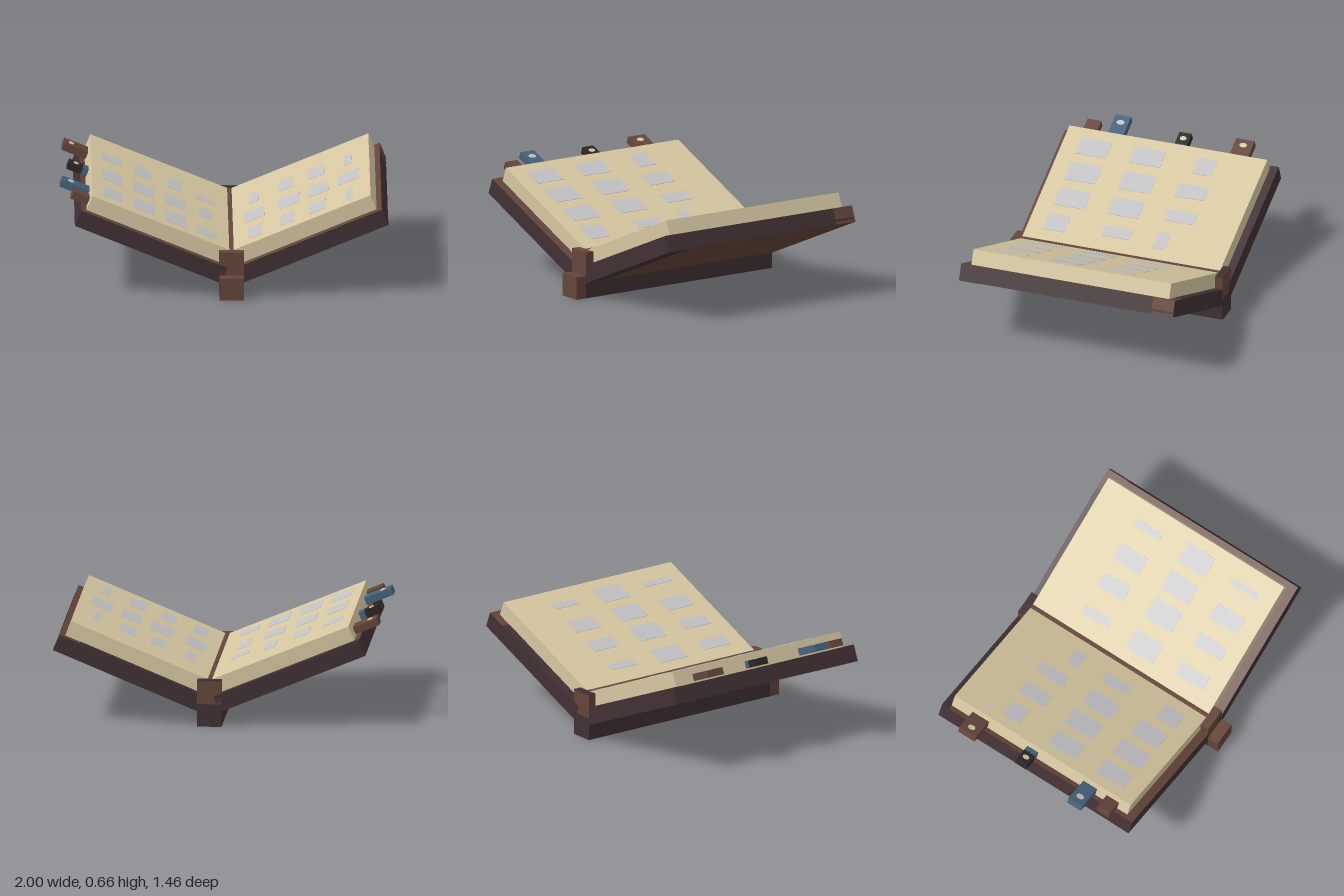
import * as THREE from 'three';

export function createModel() {
  const root = new THREE.Group();
  root.name = 'openBook';
  const mat = (name, color) => {
    const m = new THREE.MeshStandardMaterial({ color });
    m.name = name;
    return m;
  };
  const brown = mat('leather brown', 0x64453a);
  const dark = mat('dark leather', 0x403033);
  const paper = mat('parchment', 0xd6c7a1);
  const grey = mat('faded ink grey', 0xc2c1c3);
  const blue = mat('bookmark blue', 0x45627a);
  const black = mat('bookmark black', 0x2b2727);

  // Box given by its minimum and maximum on each axis
  function block(parent, name, material, [x0, x1], [y0, y1], [z0, z1]) {
    const mesh = new THREE.Mesh(
      new THREE.BoxGeometry(Math.abs(x1 - x0), y1 - y0, z1 - z0), material);
    mesh.position.set((x0 + x1) / 2, (y0 + y1) / 2, (z0 + z1) / 2);
    mesh.name = name;
    parent.add(mesh);
    return mesh;
  }

  // Spine
  const CX = 0.045;
  const sx = [CX - 0.075, CX + 0.075];
  block(root, 'spineBase', dark, sx, [0, 0.14], [-0.73, 0.66]);
  block(root, 'spineTop', brown, sx, [0.14, 0.286], [-0.73, 0.66]);
  block(root, 'spineFrontEnd', brown, sx, [0, 0.14], [0.66, 0.73]);
  block(root, 'spineBackTrim', dark, sx, [0.285, 0.289], [-0.73, -0.68]);

  // Each half lies in its own tilted frame: u runs outward, v up from the cover
  const TILT = Math.PI / 8, COS = Math.cos(TILT), SIN = Math.sin(TILT);
  const COVER = 0.103, PAGE = 0.199, END = 1.034;
  const uAt = (x, v) => (Math.abs(x - CX) + v * SIN) / COS;

  // Ink marks: x range, z range
  const rows = { back: [-0.4, -0.21], mid: [-0.05, 0.15], front: [0.3, 0.5] };
  const marks = {
    '-1': [
      [-0.735, -0.615, [-0.38, -0.26]], [-0.535, -0.435, rows.back],
      [-0.335, -0.255, rows.back], [-0.165, -0.045, [-0.29, -0.21]],
      [-0.735, -0.615, rows.mid], [-0.55, -0.42, rows.mid],
      [-0.355, -0.23, rows.mid], [-0.145, -0.07, [-0.05, 0.13]],
      [-0.735, -0.615, rows.front], [-0.55, -0.42, rows.front],
      [-0.355, -0.23, rows.front], [-0.165, -0.045, [0.36, 0.5]],
    ],
    '1': [
      [0.165, 0.22, rows.back], [0.34, 0.43, rows.back],
      [0.52, 0.62, rows.back], [0.74, 0.785, rows.back],
      [0.13, 0.25, rows.mid], [0.335, 0.465, rows.mid],
      [0.52, 0.64, rows.mid], [0.7, 0.825, rows.mid],
      [0.15, 0.23, rows.front], [0.345, 0.425, rows.front],
      [0.52, 0.62, rows.front], [0.745, 0.785, rows.front],
    ],
  };

  const halves = {};
  for (const s of [-1, 1]) {
    const half = new THREE.Group();
    half.name = s > 0 ? 'leftHalf' : 'rightHalf';
    half.position.set(CX, 0.065, 0);
    half.rotation.z = s * TILT;
    root.add(half);
    halves[s] = half;

    // Cover board with dark edges, and the page block on it
    block(half, 'cover', [dark, dark, brown, brown, dark, dark],
      [s * 0.07, s * END], [0, COVER], [-0.73, 0.66]);
    block(half, 'pages', paper, [s * 0.083, s], [COVER, PAGE], [-0.68, 0.605]);

    // Dark bands along the back of the top and the front of the underside
    block(half, 'backBand', dark, [s * 0.12, s * (s > 0 ? 0.9 : END)],
      [COVER - 0.002, COVER + 0.002], [-0.73, -0.68]);
    block(half, 'undersideBand', dark, [s * 0.09, s * END],
      [-0.002, 0.002], [0.53, 0.66]);

    for (const [x0, x1, z] of marks[s])
      block(half, 'inkMark', grey, [s * uAt(x0, PAGE), s * uAt(x1, PAGE)],
        [PAGE - 0.002, PAGE + 0.002], z);
  }

  // Brown corner patch on the model's left cover edge
  for (const v of [[0.002, 0.018], [0.032, COVER]])
    block(halves[1], 'cornerPatch', brown, [END - 0.002, END + 0.002], v, [-0.73, -0.59]);

  // Bookmark tabs on the model's right side
  const V0 = 0.113, V1 = 0.158;
  function tab(name, material, xIn, xOut, z) {
    block(halves[-1], name, material, [-uAt(xIn, V0), -uAt(xOut, V0)], [V0, V1], z);
  }
  function spot(material, x, z, r) {
    const m = new THREE.Mesh(new THREE.CylinderGeometry(r, r, 0.006, 12), material);
    m.name = 'tabSpot';
    m.scale.x = 0.75;
    m.position.set(-uAt(x, V1), V1, z);
    halves[-1].add(m);
  }
  tab('backTab', brown, -0.8, -0.98, [-0.54, -0.42]);
  tab('middleTab', black, -0.87, -0.955, [-0.14, -0.06]);
  tab('middleTabRoot', blue, -0.8, -0.87, [-0.14, -0.06]);
  tab('blueTab', blue, -0.8, -1.0, [0.27, 0.37]);
  tab('frontTab', brown, -0.8, -0.935, [0.44, 0.53]);
  spot(paper, -0.92, -0.48, 0.024);
  spot(paper, -0.895, -0.1, 0.022);
  spot(grey, -0.93, 0.32, 0.025);

  return root;
}
